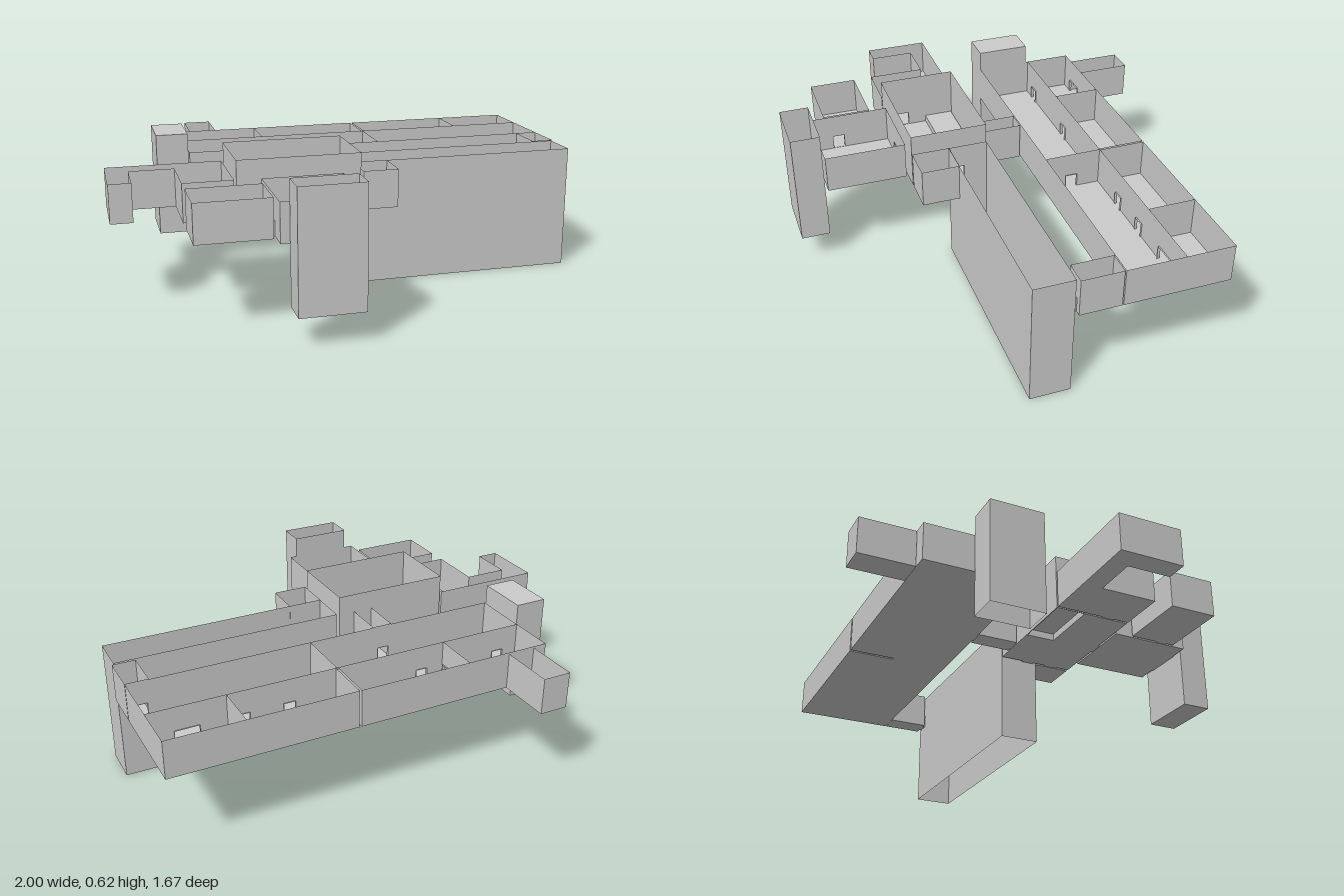
import * as THREE from 'three';

const FLOOR = 0.37, TOP = 0.53, DOOR_TOP = 0.43;

// Doorways: centre x, centre z, width, direction the wall runs
const doors = [
  [-0.535, -0.4, 0.05, 'x'], [-0.165, -0.4, 0.05, 'x'], [0.425, -0.4, 0.05, 'x'],
  [0.615, -0.4, 0.05, 'x'], [0.84, -0.4, 0.1, 'x'], [-0.265, -0.435, 0.05, 'z'],
  [0.22, -0.275, 0.05, 'z'], [-0.515, -0.6, 0.09, 'x'], [-0.12, -0.155, 0.05, 'x'],
  [0.945, -0.155, 0.06, 'x'], [-0.12, 0.027, 0.05, 'x'], [0.945, 0.025, 0.05, 'x'],
  [-0.518, 0.26, 0.05, 'z'], [0, 0.155, 0.05, 'z'], [0, 0.27, 0.06, 'z'],
  [-0.25, 0.36, 0.06, 'x'], [-0.42, 0.585, 0.05, 'z'], [-0.25, 0.708, 0.16, 'x'],
];

export function createModel() {
  const model = new THREE.Group();
  const material = new THREE.MeshStandardMaterial({
    color: 0xcccccc, flatShading: true, side: THREE.DoubleSide,
  });

  function add(parent, geometry, name) {
    const mesh = new THREE.Mesh(geometry, material);
    mesh.name = name;
    parent.add(mesh);
    return mesh;
  }

  const rect = (x0, z0, x1, z1) => [[x0, z0], [x1, z0], [x1, z1], [x0, z1]];

  // Horizontal slab of any outline
  function slab(parent, points, y, name, hole) {
    const flat = (pts) => pts.map(([x, z]) => new THREE.Vector2(x, -z));
    const shape = new THREE.Shape(flat(points));
    if (hole) shape.holes.push(new THREE.Path(flat(hole)));
    const g = new THREE.ShapeGeometry(shape);
    g.rotateX(-Math.PI / 2);
    g.translate(0, y, 0);
    add(parent, g, name);
  }

  // Upright wall from a to b with its doorways cut out
  function wall(parent, a, b, y0, y1) {
    const dx = b[0] - a[0], dz = b[1] - a[1], len = Math.hypot(dx, dz);
    const ux = dx / len, uz = dz / len;
    const shape = new THREE.Shape([[0, y0], [len, y0], [len, y1], [0, y1]]
      .map((p) => new THREE.Vector2(...p)));
    for (const [x, z, w, axis] of doors) {
      if (axis !== (Math.abs(ux) > 0.5 ? 'x' : 'z')) continue;
      const s = (x - a[0]) * ux + (z - a[1]) * uz;
      const off = Math.abs((x - a[0]) * uz - (z - a[1]) * ux);
      if (off > 0.012 || s - w / 2 < 0.001 || s + w / 2 > len - 0.001) continue;
      const bottom = FLOOR + 0.002;
      shape.holes.push(new THREE.Path([
        [s - w / 2, bottom], [s - w / 2, DOOR_TOP], [s + w / 2, DOOR_TOP], [s + w / 2, bottom],
      ].map((p) => new THREE.Vector2(...p))));
    }
    const g = new THREE.ShapeGeometry(shape);
    g.applyMatrix4(new THREE.Matrix4().makeBasis(
      new THREE.Vector3(ux, 0, uz), new THREE.Vector3(0, 1, 0), new THREE.Vector3(-uz, 0, ux),
    ).setPosition(a[0], 0, a[1]));
    add(parent, g, 'wall');
  }

  // Room: walls round an outline, plus optional floor and ceiling
  function room(name, points, { y0 = FLOOR, y1 = TOP, floor = true, ceiling = false, hole } = {}) {
    const group = new THREE.Group();
    group.name = name;
    model.add(group);
    points.forEach((p, i) => wall(group, p, points[(i + 1) % points.length], y0, y1));
    if (floor) slab(group, points, y0, 'floor', hole);
    if (ceiling) slab(group, points, y1, 'ceiling');
    return group;
  }

  // Rear block: four rooms behind two long halls
  [[-0.63, -0.265], [-0.265, 0.215], [0.225, 0.68], [0.68, 0.995]].forEach(([a, b]) =>
    room('rearRoom', rect(a, -0.6, b, -0.4)));
  room('rightHall', rect(-0.63, -0.4, 0.22, -0.158));
  room('leftHall', rect(0.22, -0.4, 0.995, -0.158));
  room('rearPassage', rect(-0.57, -0.835, -0.45, -0.602), { y1: 0.525 });
  room('rightPassage', rect(-0.16, -0.153, -0.075, 0.022));
  room('leftPassage', rect(0.9, -0.153, 0.995, 0.018));

  // Shafts that change level
  room('deepShaft', rect(0.005, 0.03, 0.985, 0.197), { y0: 0, floor: false });
  room('coveredShaft', rect(-0.77, -0.39, -0.635, -0.16),
    { y0: 0.175, y1: 0.612, floor: false, ceiling: true });
  room('frontShaft', rect(-0.38, 0.712, -0.12, 0.835), { y0: 0.125, y1: 0.617 });

  // Middle rooms
  room('bentRoom', [[-1, 0.027], [-0.522, 0.027], [-0.522, 0.355], [-0.725, 0.355],
    [-0.725, 0.112], [-0.91, 0.112], [-0.91, 0.3], [-1, 0.3]]);
  const landing = rect(-0.511, 0.031, -0.245, 0.155);
  const tall = room('tallRoom', rect(-0.513, 0.027, -0.008, 0.355), { y1: 0.608, hole: landing });
  slab(tall, landing, 0.4, 'landing');
  wall(tall, landing[1], landing[2], FLOOR, 0.4);
  wall(tall, landing[2], landing[3], FLOOR, 0.4);
  room('sideCloset', rect(0.003, 0.195, 0.15, 0.355));

  // Front rooms
  room('frontRoom', rect(-0.415, 0.363, -0.085, 0.705));
  room('frontSideRoom', rect(-0.723, 0.438, -0.425, 0.642));

  // Thresholds and lintels that bridge the gaps between rooms
  for (const [x, z, w, axis] of doors) {
    const [hx, hz] = axis === 'x' ? [w / 2, 0.006] : [0.006, w / 2];
    const group = new THREE.Group();
    group.name = 'doorFrame';
    model.add(group);
    const outline = rect(x - hx, z - hz, x + hx, z + hz);
    slab(group, outline, FLOOR + 0.002, 'threshold');
    slab(group, outline, DOOR_TOP, 'lintel');
    for (const s of [-1, 1]) {
      const ends = axis === 'x'
        ? [[x + s * hx, z - hz], [x + s * hx, z + hz]]
        : [[x - hx, z + s * hz], [x + hx, z + s * hz]];
      wall(group, ends[0], ends[1], FLOOR, DOOR_TOP);
    }
  }

  return model;
}
